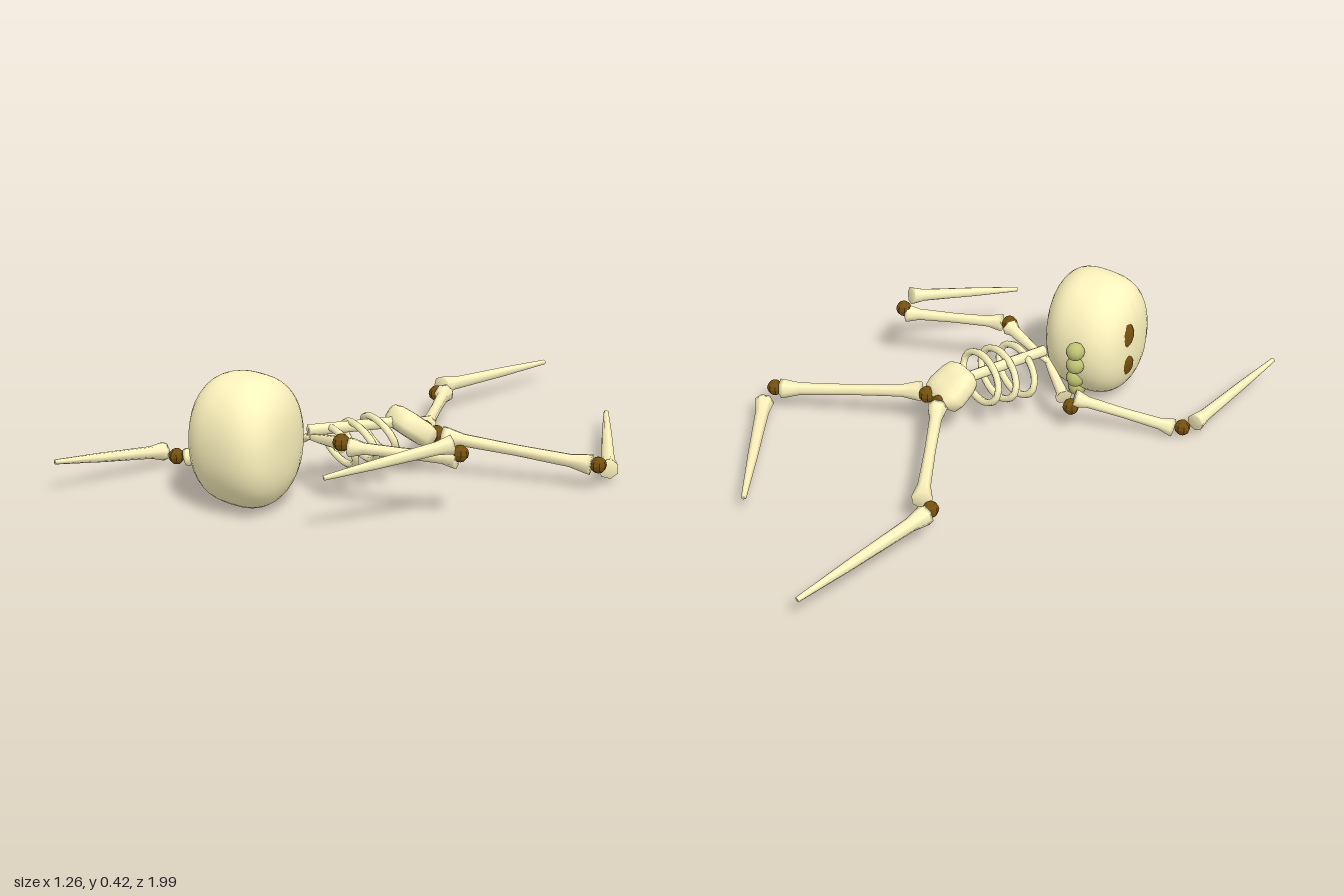
import * as THREE from 'three';

const V = (a) => new THREE.Vector3(...a);
const bone = new THREE.MeshStandardMaterial({ color: 0xfff4be });
const joint = new THREE.MeshStandardMaterial({ color: 0x74500f, flatShading: true });
const bead = new THREE.MeshStandardMaterial({ color: 0xc0c274 });

// Profiles: [radius factor, position along the bone]
const SHAFT = [[0, 0], [1, 0], [0.95, 0.03], [0.62, 0.14], [0.55, 0.5], [0.64, 0.86], [0.95, 0.97], [1, 1], [0, 1]];
const SPIKE = [[0, 0], [1, 0], [0.95, 0.02], [0.68, 0.12], [0.5, 0.6], [0.26, 1], [0, 1]];
const ROD = [[0, 0], [1, 0], [1, 1], [0, 1]];

export function createModel() {
  const root = new THREE.Group();
  root.name = 'skeleton';

  const add = (parent, name, geometry, material) => {
    const mesh = new THREE.Mesh(geometry, material);
    mesh.name = name;
    parent.add(mesh);
    return mesh;
  };

  // Turned bone running from point a to point b
  const addBone = (parent, name, profile, a, b, radius) => {
    const from = V(a), dir = V(b).sub(from), len = dir.length();
    const pts = profile.map(([r, t]) => new THREE.Vector2(r * radius, t * len));
    const mesh = add(parent, name, new THREE.LatheGeometry(pts, 7), bone);
    mesh.position.copy(from);
    mesh.quaternion.setFromUnitVectors(new THREE.Vector3(0, 1, 0), dir.normalize());
  };

  const addBall = (parent, name, p, r, material, w = 8, h = 6) => {
    const mesh = add(parent, name, new THREE.SphereGeometry(r, w, h), material);
    mesh.position.copy(V(p));
    return mesh;
  };

  // Rotation whose z axis is `axis` and whose x axis is as near `x` as possible
  const turn = (axis, x) => {
    const z = V(axis).normalize(), side = V(x);
    side.addScaledVector(z, -side.dot(z)).normalize();
    return new THREE.Quaternion().setFromRotationMatrix(
      new THREE.Matrix4().makeBasis(side, new THREE.Vector3().crossVectors(z, side), z));
  };

  // Limbs: upper joint, shaft, middle joint, pointed lower bone
  const limbs = [
    { name: 'leftLeg', top: [0.12, 0.145, 0.03], upper: [[0.15, 0.145, 0.035], [0.58, 0.09, -0.19]],
      mid: [0.6, 0.09, -0.2], lower: [[0.595, 0.06, -0.26], [0.245, 0.07, -0.71]], r: 0.034 },
    { name: 'rightLeg', top: [0.053, 0.145, 0.015], upper: [[0.04, 0.145, -0.01], [-0.23, 0.11, -0.405]],
      mid: [-0.275, 0.1, -0.415], lower: [[-0.293, 0.112, -0.46], [-0.263, 0.09, -1]], r: 0.034 },
    { name: 'leftArm', top: [0.118, 0.222, 0.467], upper: [[0.15, 0.215, 0.467], [0.455, 0.207, 0.315]],
      mid: [0.463, 0.225, 0.31], lower: [[0.46, 0.262, 0.345], [0.27, 0.203, 0.7]], r: 0.031 },
    { name: 'rightArm', top: [-0.25, 0.1, 0.335], upper: [[-0.255, 0.13, 0.345], [-0.535, 0.04, 0.525]],
      mid: [-0.56, 0.043, 0.543], lower: [[-0.59, 0.06, 0.57], [-0.622, 0.122, 0.99]], r: 0.031 },
  ];
  for (const { name, top, upper, mid, lower, r } of limbs) {
    const limb = new THREE.Group();
    limb.name = name;
    root.add(limb);
    addBall(limb, 'upperJoint', top, 0.028, joint);
    addBone(limb, 'upperBone', SHAFT, ...upper, r);
    addBall(limb, 'middleJoint', mid, 0.027, joint);
    addBone(limb, 'lowerBone', SPIKE, ...lower, r);
  }

  // Collar bones meeting at the top of the spine
  const torso = new THREE.Group();
  torso.name = 'torso';
  root.add(torso);
  addBone(torso, 'rightCollarBone', SPIKE, [-0.22, 0.125, 0.335], [-0.06, 0.19, 0.43], 0.03);
  addBone(torso, 'leftCollarBone', SPIKE, [0.11, 0.215, 0.46], [-0.1, 0.18, 0.405], 0.031);
  addBone(torso, 'spine', ROD, [0.055, 0.19, 0.09], [-0.07, 0.21, 0.42], 0.019);

  // Rib rings, tilted along the trunk
  const ribTurn = turn([-0.35, -0.36, 0.88], [0.93, 0.13, 0.36]);
  const ringPoints = [];
  for (let i = 0; i < 16; i++) {
    const a = (i / 16) * Math.PI * 2;
    ringPoints.push(new THREE.Vector3(0.12 * Math.cos(a), 0.065 * Math.sin(a), 0));
  }
  const ring = new THREE.TubeGeometry(new THREE.CatmullRomCurve3(ringPoints, true), 24, 0.0125, 6, true);
  [[0.032, 0.165, 0.205], [0.01, 0.157, 0.272], [-0.014, 0.15, 0.34]].forEach((c, i) => {
    const rib = add(torso, 'rib' + (i + 1), ring, bone);
    rib.quaternion.copy(ribTurn);
    rib.position.copy(V(c));
  });

  // Pelvis: sloping rounded slab at the foot of the spine
  const slab = new THREE.SphereGeometry(1, 16, 10);
  const pp = slab.attributes.position;
  for (let i = 0; i < pp.count; i++) {
    const x = pp.getX(i), y = pp.getY(i), z = pp.getZ(i);
    const k = (x ** 4 + y ** 4 + z ** 4) ** -0.25;
    pp.setXYZ(i, x * k * 0.08 * (1 - 0.12 * z * k), y * k * 0.04, z * k * 0.074);
  }
  slab.computeVertexNormals();
  const pelvis = add(torso, 'pelvis', slab, bone);
  pelvis.quaternion.copy(turn([-0.25, 0.6, 0.75], [0.93, 0, 0.36]));
  pelvis.position.set(0.06, 0.175, 0.09);

  // Skull: round from the side, flat-faced, swelling from neck to crown
  const head = new THREE.Group();
  head.name = 'head';
  root.add(head);
  const skullShape = new THREE.SphereGeometry(1, 36, 24);
  const sp = skullShape.attributes.position;
  for (let i = 0; i < sp.count; i++) {
    const x = sp.getX(i), y = sp.getY(i), z = sp.getZ(i);
    const round = (Math.abs(y) ** 2.15 + Math.abs(z) ** 2.15) ** (1 / 2.15);
    const k = (Math.abs(x) ** 2.8 + round ** 2.8) ** (-1 / 2.8);
    const t = z * k;
    const swell = x > 0 ? 1 + 0.24 * t : 1 - 0.06 * t;
    sp.setXYZ(i, x * k * 0.168 * swell + 0.012 * t, y * k * 0.208 * (1 + 0.05 * t), t * 0.185);
  }
  skullShape.computeVertexNormals();
  const skull = add(head, 'skull', skullShape, bone);
  skull.position.set(-0.13, 0.22, 0.623);

  // Eye sockets on the face
  [['upperEyeSocket', [-0.283, 0.285, 0.565], [-0.92, 0.22, -0.3]],
    ['lowerEyeSocket', [-0.283, 0.155, 0.57], [-0.92, -0.22, -0.3]]].forEach(([name, p, n]) => {
    const eye = addBall(head, name, p, 1, joint, 12, 8);
    eye.scale.set(0.05, 0.052, 0.016);
    eye.quaternion.copy(turn(n, [0, 0, 1]));
  });

  // String of beads under the jaw
  [[-0.195, 0.25, 0.425], [-0.188, 0.19, 0.437], [-0.17, 0.12, 0.465], [-0.15, 0.06, 0.505]].forEach((p, i) =>
    addBall(head, 'bead' + (i + 1), p, 0.032, bead, 10, 8));

  return root;
}
